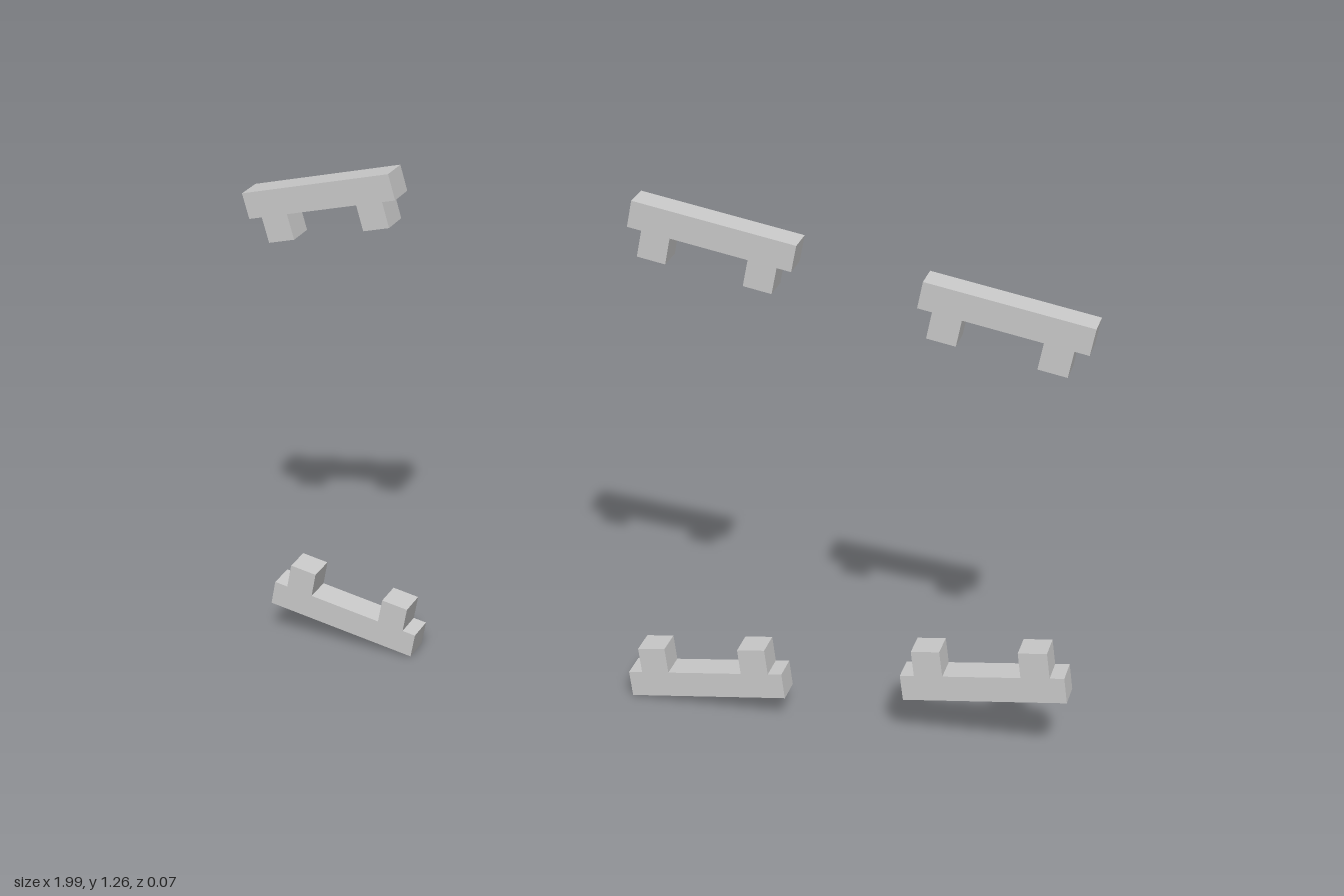
import * as THREE from 'three';

const LENGTH = 0.383, BAR = 0.063, LEG = 0.126, DEPTH = 0.07, MID_Y = 0.63;

// Bar with two stub legs, origin at the middle of its outer edge; dir -1 = legs down, +1 = legs up
function bracketGeometry(dir) {
  const half = LENGTH / 2, legOut = 0.158, legIn = 0.091;
  const right = [[half, 0], [half, BAR], [legOut, BAR], [legOut, LEG], [legIn, LEG], [legIn, BAR]];
  const left = right.map(([x, y]) => [-x, y]).reverse();
  const shape = new THREE.Shape([...right, ...left].map(([x, y]) => new THREE.Vector2(x, dir * y)));
  const geometry = new THREE.ExtrudeGeometry(shape, { depth: DEPTH, bevelEnabled: false });
  return geometry.translate(0, 0, -DEPTH / 2);
}

export function createModel() {
  const model = new THREE.Group();
  model.name = 'bracketSet';
  const material = new THREE.MeshStandardMaterial({ color: 0xcccccc, flatShading: true });

  // Middle of the outer edge (x, y) and tilt of the upper brackets
  const places = [
    { name: 'Right', x: -0.812, y: 1.214, tilt: 13.2 },
    { name: 'Middle', x: 0.145, y: 1.229, tilt: -9.2 },
    { name: 'Left', x: 0.806, y: 1.119, tilt: -9.2 },
  ];

  // The lower row mirrors the upper row
  for (const [row, dir] of [['upper', -1], ['lower', 1]]) {
    const geometry = bracketGeometry(dir);
    for (const { name, x, y, tilt } of places) {
      const bracket = new THREE.Mesh(geometry, material);
      bracket.name = `${row}${name}Bracket`;
      bracket.position.set(x, MID_Y - dir * (y - MID_Y), 0);
      bracket.rotation.z = -dir * THREE.MathUtils.degToRad(tilt);
      model.add(bracket);
    }
  }
  return model;
}
